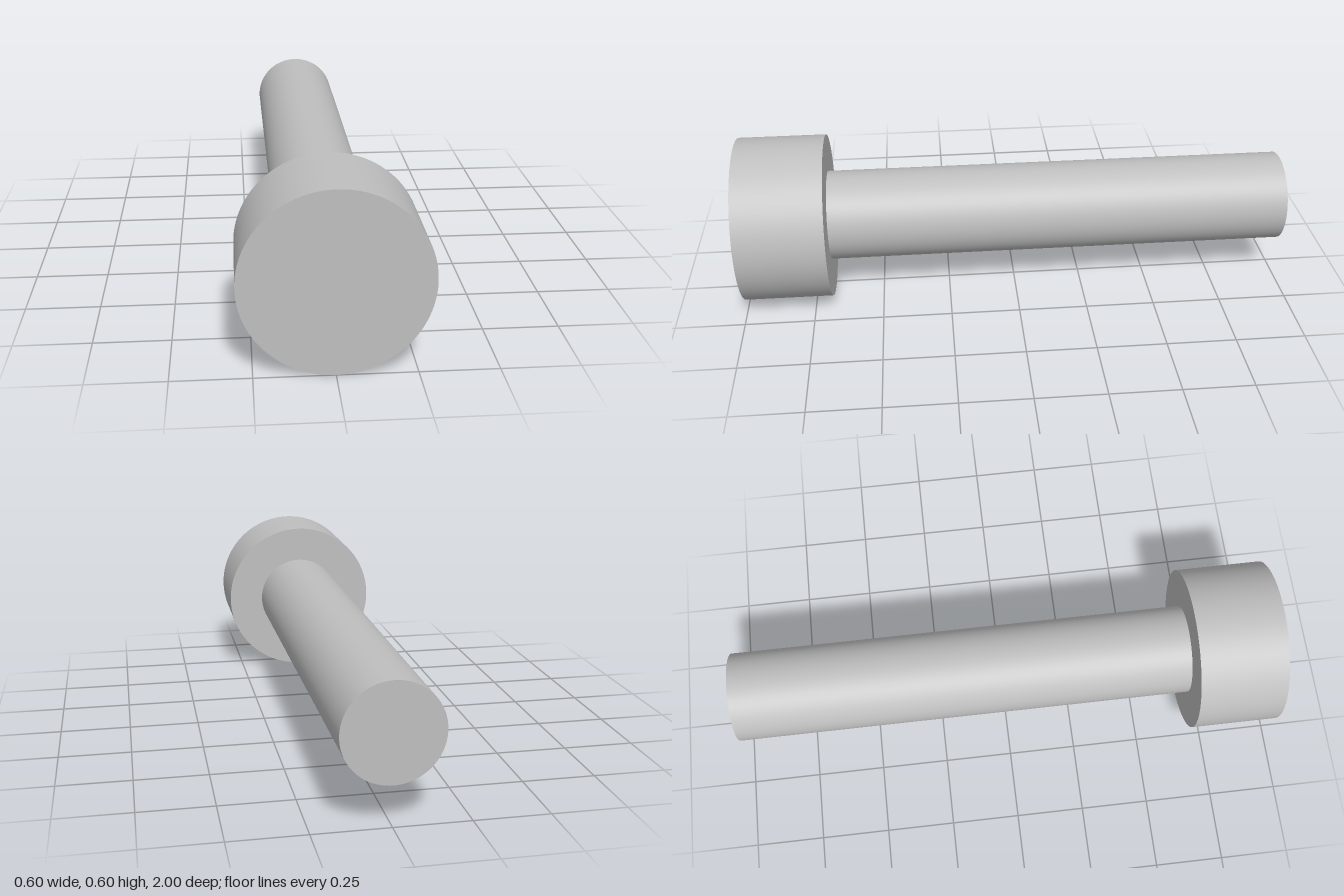
import * as THREE from 'three';

const HEAD_RADIUS = 0.298;
const SHANK_RADIUS = 0.163;
const SHOULDER_Z = 0.682;

export function createModel() {
  const model = new THREE.Group();
  model.name = 'headedPin';
  const steel = new THREE.MeshStandardMaterial({ color: 0xbfbfbf });
  steel.name = 'grey steel';

  // Profile (radius, z) of one part turned about the z axis; doubled corners keep edges sharp
  const addTurned = (name, profile) => {
    const points = profile.map(([r, z]) => new THREE.Vector2(r, z));
    const mesh = new THREE.Mesh(new THREE.LatheGeometry(points, 96).rotateX(Math.PI / 2), steel);
    mesh.name = name;
    mesh.position.y = HEAD_RADIUS;
    model.add(mesh);
  };

  // Shank: flat end and long smooth side, ending at the shoulder
  addTurned('shank', [
    [0, -1], [SHANK_RADIUS, -1], [SHANK_RADIUS, -1],
    [SHANK_RADIUS, SHOULDER_Z],
  ]);

  // Head: ring-shaped shoulder, side and flat front
  addTurned('head', [
    [SHANK_RADIUS, SHOULDER_Z], [HEAD_RADIUS, SHOULDER_Z], [HEAD_RADIUS, SHOULDER_Z],
    [HEAD_RADIUS, 1], [HEAD_RADIUS, 1], [0, 1],
  ]);

  // Flat normals on the faces and radial normals on the sides
  model.children.forEach(({ geometry }) => {
    const p = geometry.attributes.position;
    const n = geometry.attributes.normal;
    const rows = geometry.parameters.points;
    for (let i = 0; i < p.count; i++) {
      const j = i % rows.length;
      const prev = rows[j - 1], next = rows[j + 1];
      const other = prev && !prev.equals(rows[j]) ? prev : next;
      if (other.y === rows[j].y) n.setXYZ(i, 0, 0, rows[j].y === 1 ? 1 : -1);
      else {
        const r = Math.hypot(p.getX(i), p.getY(i));
        n.setXYZ(i, p.getX(i) / r, p.getY(i) / r, 0);
      }
    }
  });
  return model;
}
